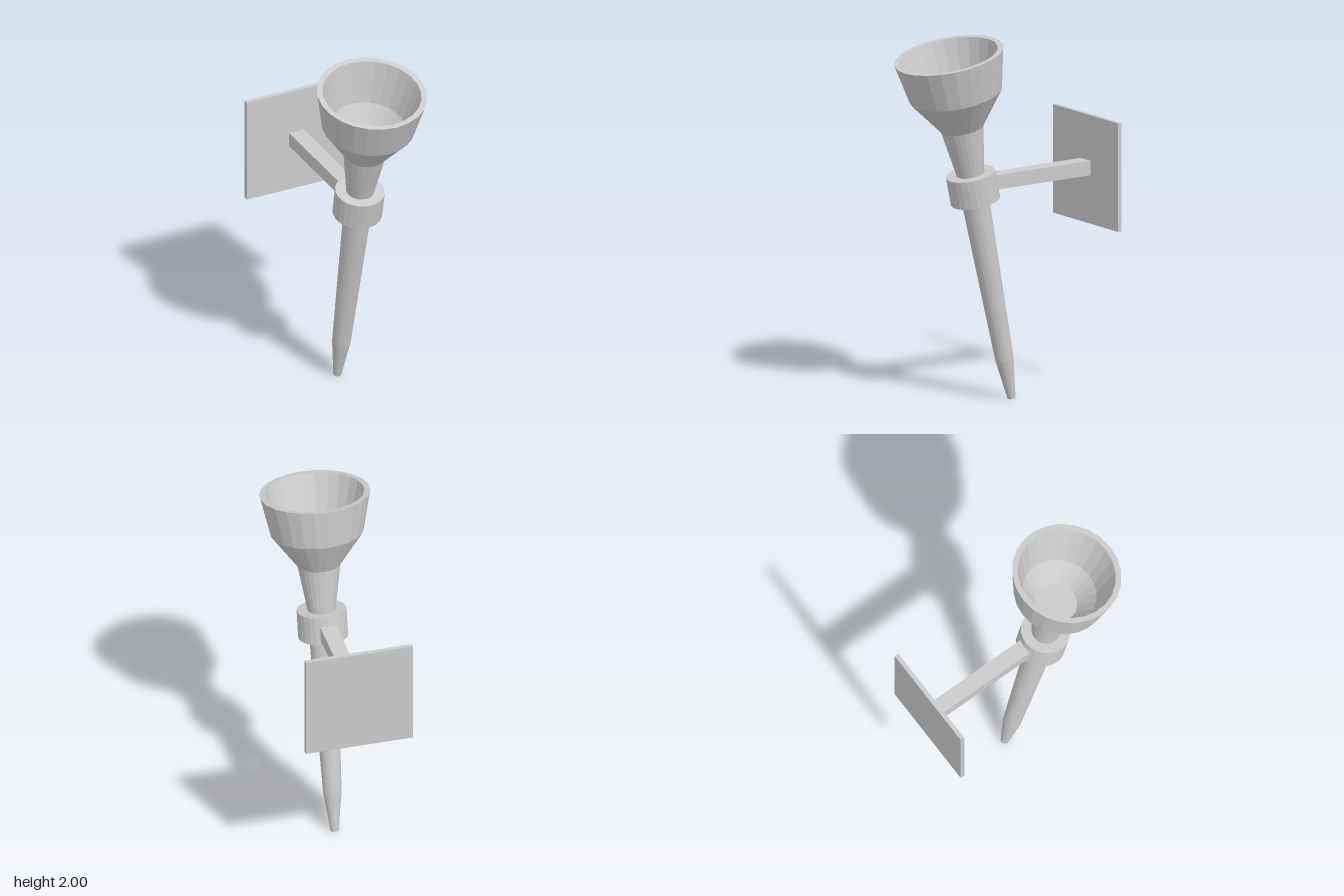
import * as THREE from 'three';

const SIDES = 24;
const TILT = 0.211; // lean of the torch toward the front

export function createModel() {
  const model = new THREE.Group();
  model.name = 'wallTorch';
  const material = new THREE.MeshStandardMaterial({ color: 0xcccccc, flatShading: true });

  const add = (parent, name, geometry, x = 0, y = 0, z = 0) => {
    const mesh = new THREE.Mesh(geometry, material);
    mesh.name = name;
    mesh.position.set(x, y, z);
    parent.add(mesh);
  };
  const lathe = (points) =>
    new THREE.LatheGeometry(points.map(([r, y]) => new THREE.Vector2(r, y)), SIDES);

  // Torch, built upright from its tip and then leaned forward
  const torch = new THREE.Group();
  torch.name = 'torch';
  torch.position.set(0, 0.006, -0.099);
  torch.rotation.x = TILT;
  model.add(torch);

  // Tapered handle with a pointed foot and flaring neck
  add(torch, 'handle', lathe([
    [0, 0], [0.022, 0], [0.05, 0.228], [0.075, 1.14], [0.075, 1.29], [0.116, 1.556],
  ]));

  // Hollow cup: outer wall, flat rim, inner wall and floor
  add(torch, 'cup', lathe([
    [0.116, 1.556], [0.252, 1.75], [0.298, 1.975],
    [0.267, 1.975], [0.203, 1.74], [0.116, 1.63], [0, 1.63],
  ]));

  // Holding ring around the handle
  add(torch, 'holdingRing', new THREE.CylinderGeometry(0.134, 0.134, 0.156, SIDES), 0, 1.215, 0);

  // Wall bracket
  add(model, 'bracketArm', new THREE.BoxGeometry(0.088, 0.08, 0.69), 0, 1.211, -0.245);
  add(model, 'wallPlate', new THREE.BoxGeometry(0.594, 0.595, 0.024), 0, 1.203, -0.6);

  return model;
}
